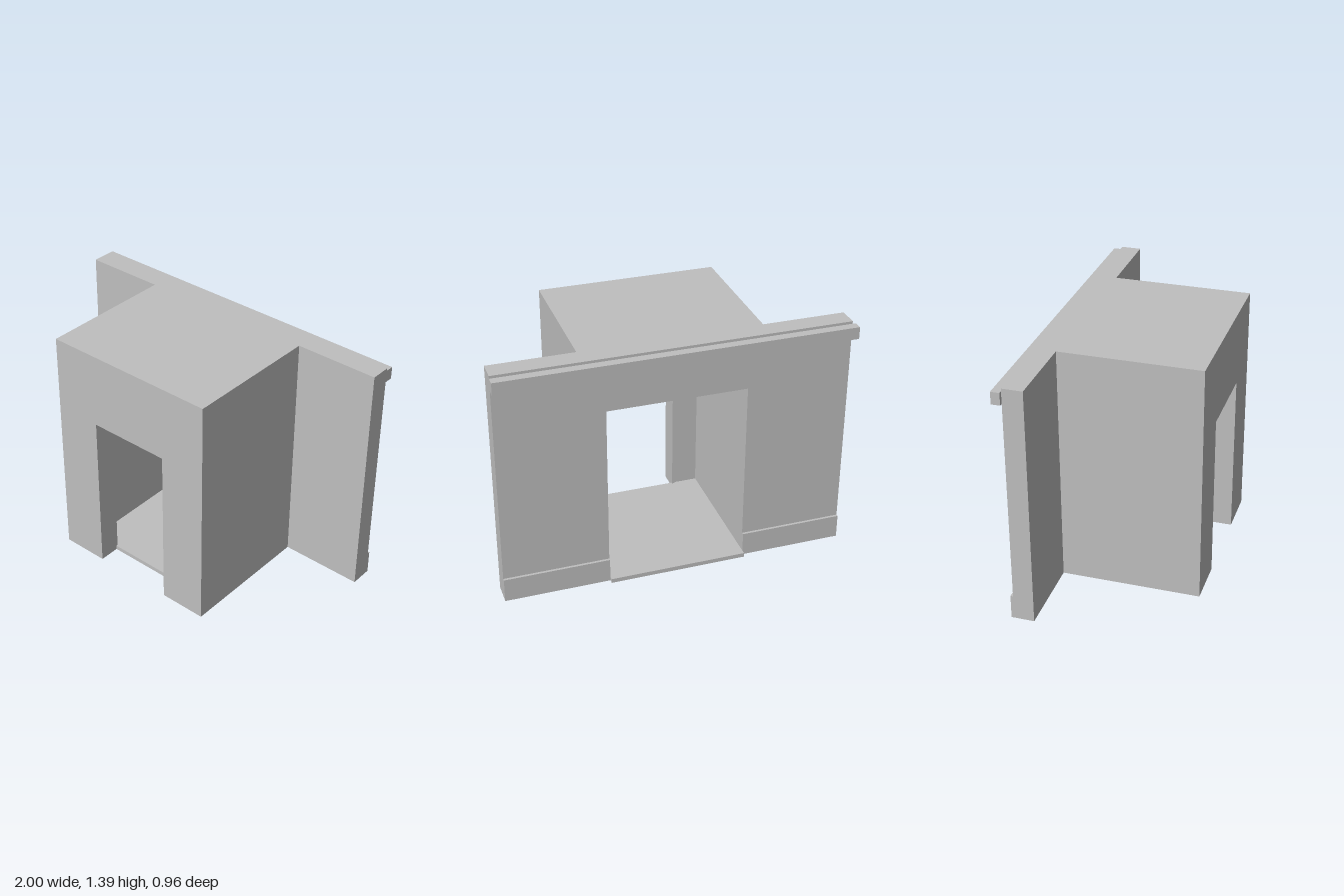
import * as THREE from 'three';

const wallGrey = new THREE.MeshStandardMaterial({ color: 0xbfbfbf });
wallGrey.name = 'wall grey';

const HEIGHT = 1.39;
const CEILING = 1.305;
const BACK = -0.43, BACK_INNER = -0.315;
const FRONT = 0.48, FRONT_INNER = 0.36;
const ROOM = [-0.39, 0.4];
const PORCH = [-0.51, 0.52];
const DOOR = [-0.235, 0.245];
const DOOR_TOP = 0.955;

export function createModel() {
  const model = new THREE.Group();
  model.name = 'entranceVestibule';

  const add = (name, geometry) => {
    const mesh = new THREE.Mesh(geometry, wallGrey);
    mesh.name = name;
    model.add(mesh);
  };

  // Box given by its limits along each axis
  const block = (name, [x0, x1], [y0, y1], [z0, z1]) => {
    const geometry = new THREE.BoxGeometry(x1 - x0, y1 - y0, z1 - z0);
    geometry.translate((x0 + x1) / 2, (y0 + y1) / 2, (z0 + z1) / 2);
    add(name, geometry);
  };

  // Upright wall with a doorway that is open at the bottom
  const doorWall = (name, [x0, x1], [d0, d1], doorTop, [z0, z1]) => {
    const outline = [
      [x0, 0], [d0, 0], [d0, doorTop], [d1, doorTop],
      [d1, 0], [x1, 0], [x1, HEIGHT], [x0, HEIGHT],
    ].map(([x, y]) => new THREE.Vector2(x, y));
    const geometry = new THREE.ExtrudeGeometry(new THREE.Shape(outline), { depth: z1 - z0, bevelEnabled: false });
    geometry.translate(0, 0, z0);
    add(name, geometry);
  };

  // Wide back wall and narrow front wall
  doorWall('backWall', [-0.98, 1], ROOM, 1.08, [BACK, BACK_INNER]);
  doorWall('frontWall', PORCH, DOOR, DOOR_TOP, [FRONT_INNER, FRONT]);

  // Passage between the two walls
  const passage = [BACK_INNER, FRONT_INNER];
  block('rightSideWall', [PORCH[0], ROOM[0]], [0, HEIGHT], passage);
  block('leftSideWall', [ROOM[1], PORCH[1]], [0, HEIGHT], passage);
  block('roof', ROOM, [CEILING, HEIGHT], passage);
  block('floor', ROOM, [0, 0.025], [-0.47, FRONT_INNER]);

  // Trim on the back wall
  block('cornice', [-1, 1], [1.305, 1.375], [-0.48, BACK]);
  block('rightBaseboard', [-0.98, ROOM[0]], [0, 0.14], [-0.445, BACK]);
  block('leftBaseboard', [ROOM[1], 1], [0, 0.14], [-0.445, BACK]);

  // Slim trim around the inside of the front doorway
  block('doorLintelTrim', [DOOR[0] - 0.04, DOOR[1] + 0.04], [DOOR_TOP, 1.03], [0.345, FRONT_INNER]);
  block('rightDoorTrim', [DOOR[0] - 0.015, DOOR[0]], [0.025, DOOR_TOP], [0.35, FRONT_INNER]);
  block('leftDoorTrim', [DOOR[1], DOOR[1] + 0.015], [0.025, DOOR_TOP], [0.35, FRONT_INNER]);

  return model;
}
